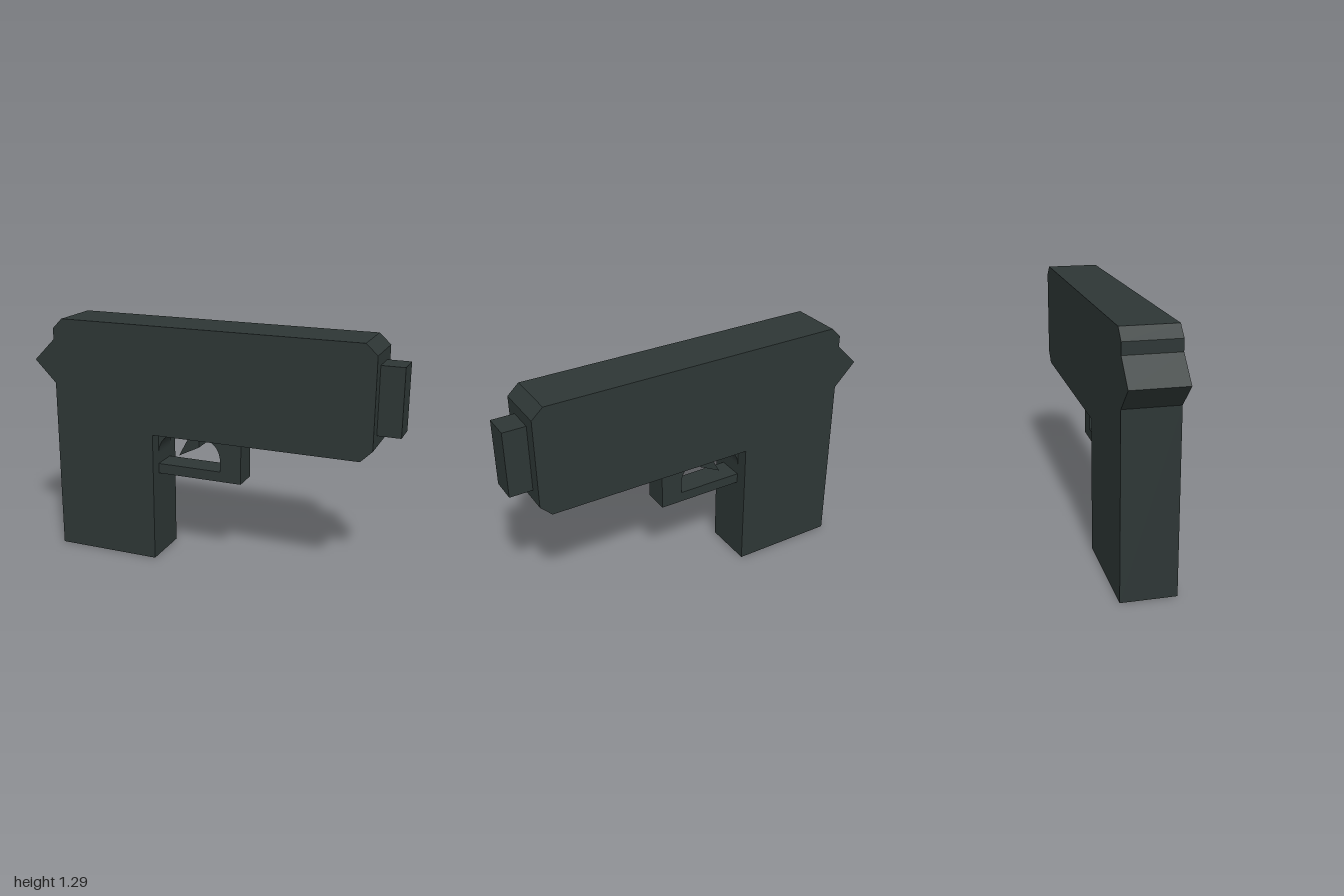
import * as THREE from 'three';

const FULL = 0.28, SLIM = 0.14;

export function createModel() {
  const model = new THREE.Group();
  const gunmetal = new THREE.MeshStandardMaterial({ color: 0x2d3635 });
  gunmetal.name = 'gunmetal';

  const outline = (points) => new THREE.Shape(points.map(([x, y]) => new THREE.Vector2(x, y)));

  // Side profile extruded evenly about z = 0
  function addPart(name, shape, depth) {
    const geometry = new THREE.ExtrudeGeometry(shape, { depth, bevelEnabled: false, curveSegments: 10 });
    geometry.translate(0, 0, -depth / 2);
    const mesh = new THREE.Mesh(geometry, gunmetal);
    mesh.name = name;
    model.add(mesh);
  }

  // Grip and slide in one silhouette, with chamfered corners and the rear spur
  addPart('body', outline([
    [-0.88, 0], [-0.3, 0], [-0.3, 0.71], [0.82, 0.71], [0.88, 0.77], [0.88, 1.24],
    [0.82, 1.295], [-0.825, 1.295], [-0.88, 1.24], [-0.88, 1.18], [-1, 1.06], [-0.88, 0.94],
  ]), FULL);

  // Narrow block at the front of the slide
  addPart('muzzle', outline([[0.88, 0.83], [1, 0.83], [1, 1.18], [0.88, 1.18]]), SLIM);

  // Guard with an arched opening that meets the grip
  const guard = outline([[-0.3, 0.475], [0.175, 0.475], [0.175, 0.71], [-0.06, 0.71]]);
  guard.absarc(-0.06, 0.59, 0.118, Math.PI / 2, 0, true);
  guard.lineTo(0.058, 0.53);
  guard.lineTo(-0.3, 0.53);
  addPart('triggerGuard', guard, SLIM);

  // Rounded corner between grip and slide
  const fillet = outline([[-0.3, 0.71], [-0.3, 0.59]]);
  fillet.absarc(-0.18, 0.59, 0.12, Math.PI, Math.PI / 2, true);
  addPart('guardFillet', fillet, SLIM);

  // Pointed trigger
  addPart('trigger', outline([[-0.115, 0.71], [-0.178, 0.592], [-0.063, 0.65], [-0.063, 0.71]]), SLIM);

  return model;
}
